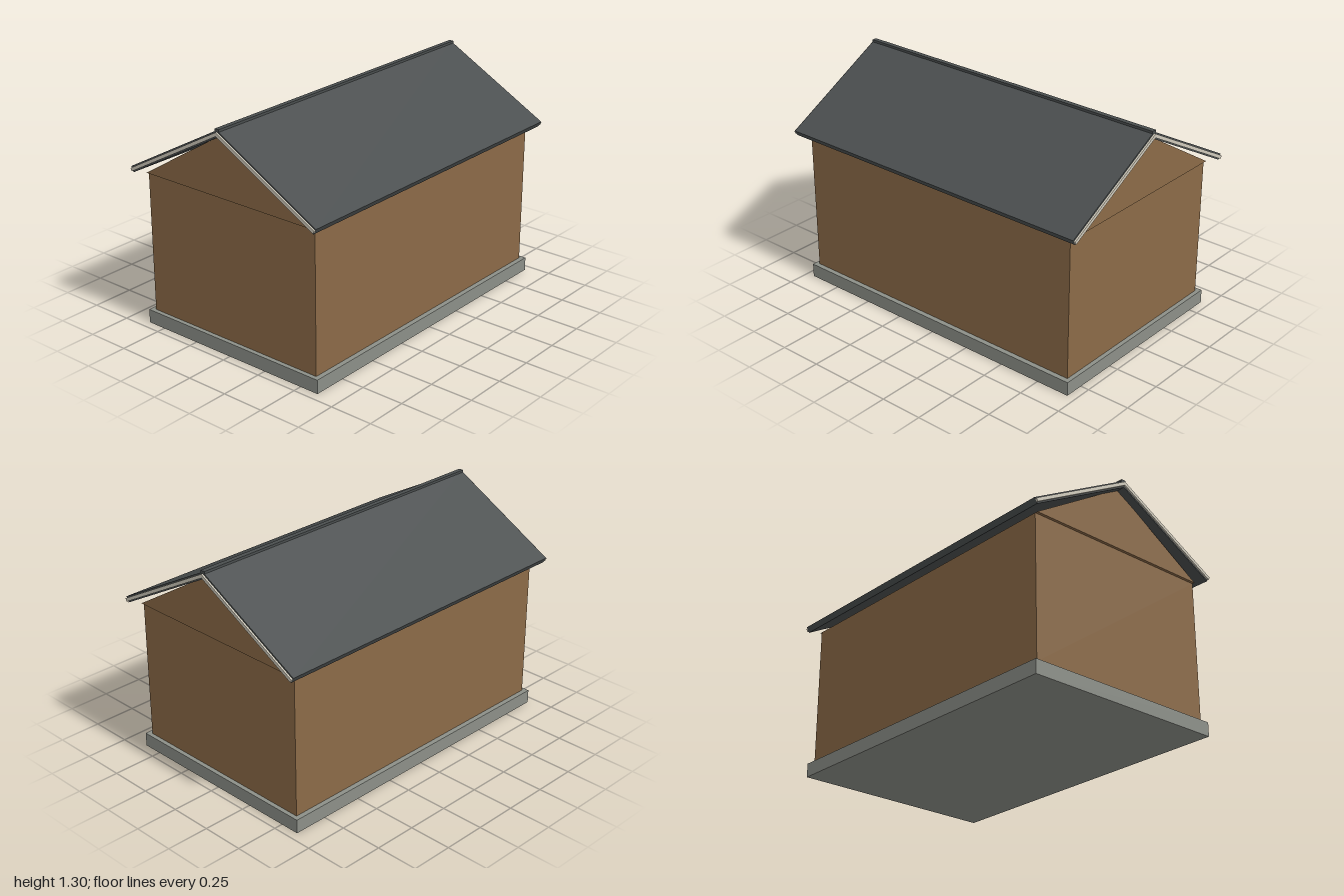
import * as THREE from 'three';

const paint = (color) => new THREE.MeshStandardMaterial({ color });
const wood = paint(0x8b6a47);
const slate = paint(0x4a4e4f);
const stone = paint(0x8c8f88);
const trim = paint(0xcfcabb);

const PITCH = Math.atan(0.5475);
const RIDGE_Y = 1.292;      // top of the roof at the centre line
const SLOPE = 0.739;        // length of each roof slope
const ROOF_THICK = 0.035;

function add(group, name, geometry, material, x = 0, y = 0, z = 0) {
  const mesh = new THREE.Mesh(geometry, material);
  mesh.name = name;
  mesh.position.set(x, y, z);
  group.add(mesh);
}

// Extrude a closed outline along z, centred on z = 0
function prism(points, depth) {
  const shape = new THREE.Shape(points.map(([x, y]) => new THREE.Vector2(x, y)));
  return new THREE.ExtrudeGeometry(shape, { depth, bevelEnabled: false }).translate(0, 0, -depth / 2);
}

// Inverted-V band, between two depths measured square to the roof surface
function chevron(top, bottom, depth) {
  const c = Math.cos(PITCH), s = Math.sin(PITCH);
  const eave = (d) => [SLOPE * c - d * s, RIDGE_Y - SLOPE * s - d * c];
  const ridge = (d) => [0, RIDGE_Y - d / c];
  const mirror = ([x, y]) => [-x, y];
  return prism([
    ridge(top), mirror(eave(top)), mirror(eave(bottom)),
    ridge(bottom), eave(bottom), eave(top),
  ], depth);
}

export function createModel() {
  const group = new THREE.Group();
  group.name = 'shed';

  // Base and walls
  add(group, 'plinth', new THREE.BoxGeometry(1.228, 0.08, 1.9), stone, 0, 0.04, 0);
  add(group, 'walls', new THREE.BoxGeometry(1.17, 0.82, 1.85), wood, 0, 0.49, 0);

  // Roof slopes and ridge cap
  add(group, 'roof', chevron(0, ROOF_THICK, 1.98), slate);
  add(group, 'ridgeCap', new THREE.BoxGeometry(0.028, 0.02, 1.98), slate, 0, 1.288, 0);

  // Gable panels and barge boards at both ends
  const gable = prism([[-0.585, 0.9], [0.585, 0.9], [0, 1.26]], 0.03);
  const board = chevron(0.008, 0.027, 0.01);
  for (const [end, side] of [['front', 1], ['back', -1]]) {
    add(group, end + 'Gable', gable, wood, 0, 0, side * 0.926);
    add(group, end + 'BargeBoard', board, trim, 0, 0, side * 0.995);
  }
  return group;
}
